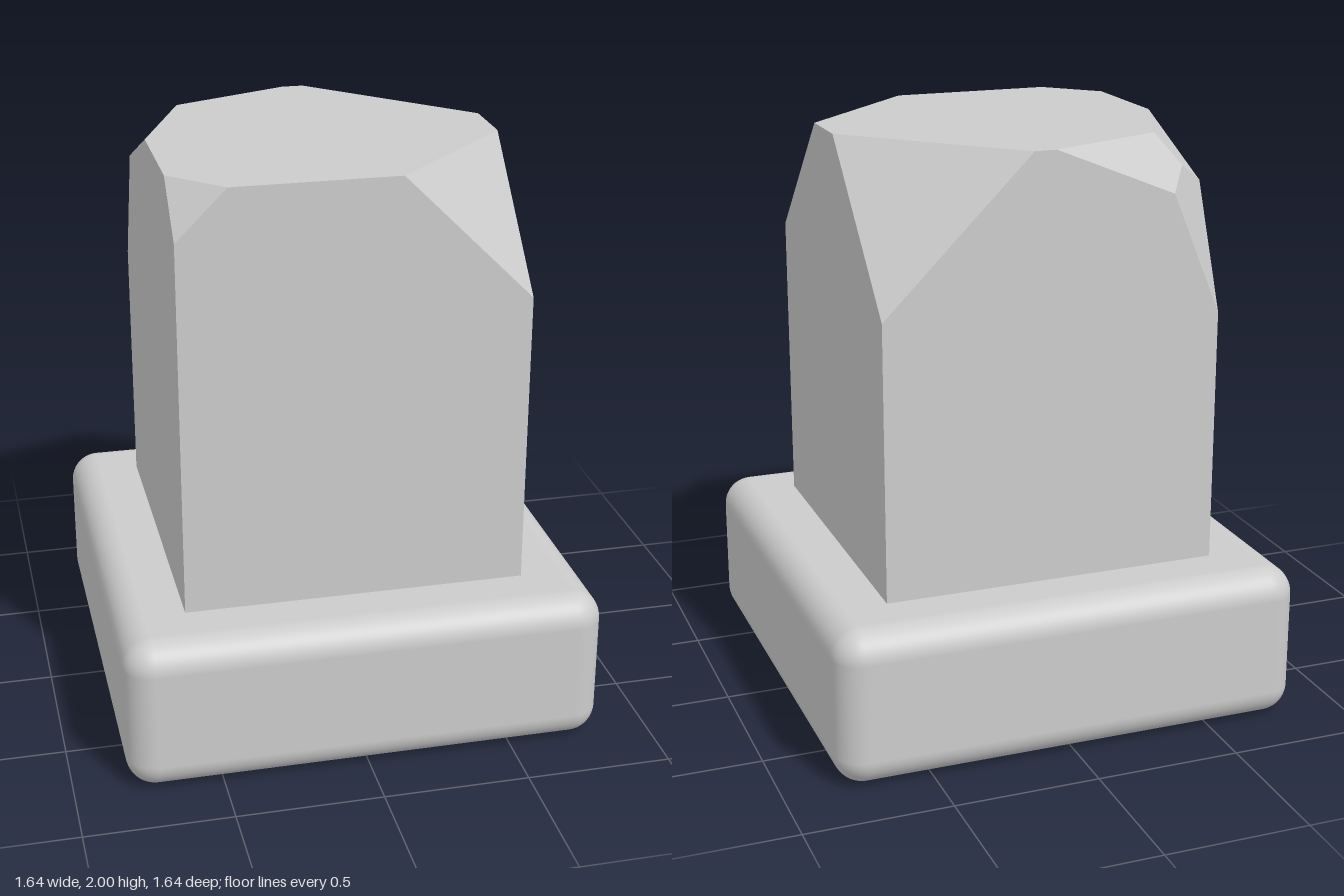
import * as THREE from 'three';
import { RoundedBoxGeometry } from 'three/addons/geometries/RoundedBoxGeometry.js';
import { ConvexGeometry } from 'three/addons/geometries/ConvexGeometry.js';

const HALF = 0.585; // half width of the block
const BASE = 0.54; // height of the base
const TOP = 2;

// Point given by its distances from the top corner (sx, sz) of the block
const fromCorner = (sx, sz, a, b, c) =>
  new THREE.Vector3(sx * (HALF - a), TOP - b, sz * (HALF - c));

// Corner sliced off by one diagonal plane
function slicedCorner(sx, sz, d) {
  return [[d, 0, 0], [0, d, 0], [0, 0, d]].map((p) => fromCorner(sx, sz, ...p));
}

// Corner replaced by three kite facets meeting at a point
function kiteCorner(sx, sz) {
  const q = HALF * (1 - Math.SQRT1_2);
  const tip = HALF / (3 + 2 * Math.SQRT2);
  return [
    [HALF, 0, 0], [0, HALF, 0], [0, 0, HALF],
    [q, q, 0], [q, 0, q], [0, q, q],
    [tip, tip, tip],
  ].map((p) => fromCorner(sx, sz, ...p));
}

export function createModel() {
  const group = new THREE.Group();
  const material = new THREE.MeshStandardMaterial({ color: 0xcccccc });
  const flat = new THREE.MeshStandardMaterial({ color: 0xcccccc, flatShading: true });

  // Rounded plinth
  const base = new THREE.Mesh(new RoundedBoxGeometry(1.64, BASE, 1.64, 6, 0.1), material);
  base.name = 'base';
  base.position.y = BASE / 2;
  group.add(base);

  // Square block with a different cut on each top corner
  const points = [
    ...slicedCorner(1, 1, 0.44),
    ...slicedCorner(1, -1, 0.51),
    ...slicedCorner(-1, 1, 0.17),
    ...kiteCorner(-1, -1),
  ];
  for (const sx of [-1, 1])
    for (const sz of [-1, 1]) points.push(new THREE.Vector3(sx * HALF, BASE, sz * HALF));
  const block = new THREE.Mesh(new ConvexGeometry(points), flat);
  block.name = 'facetedBlock';
  group.add(block);

  return group;
}
